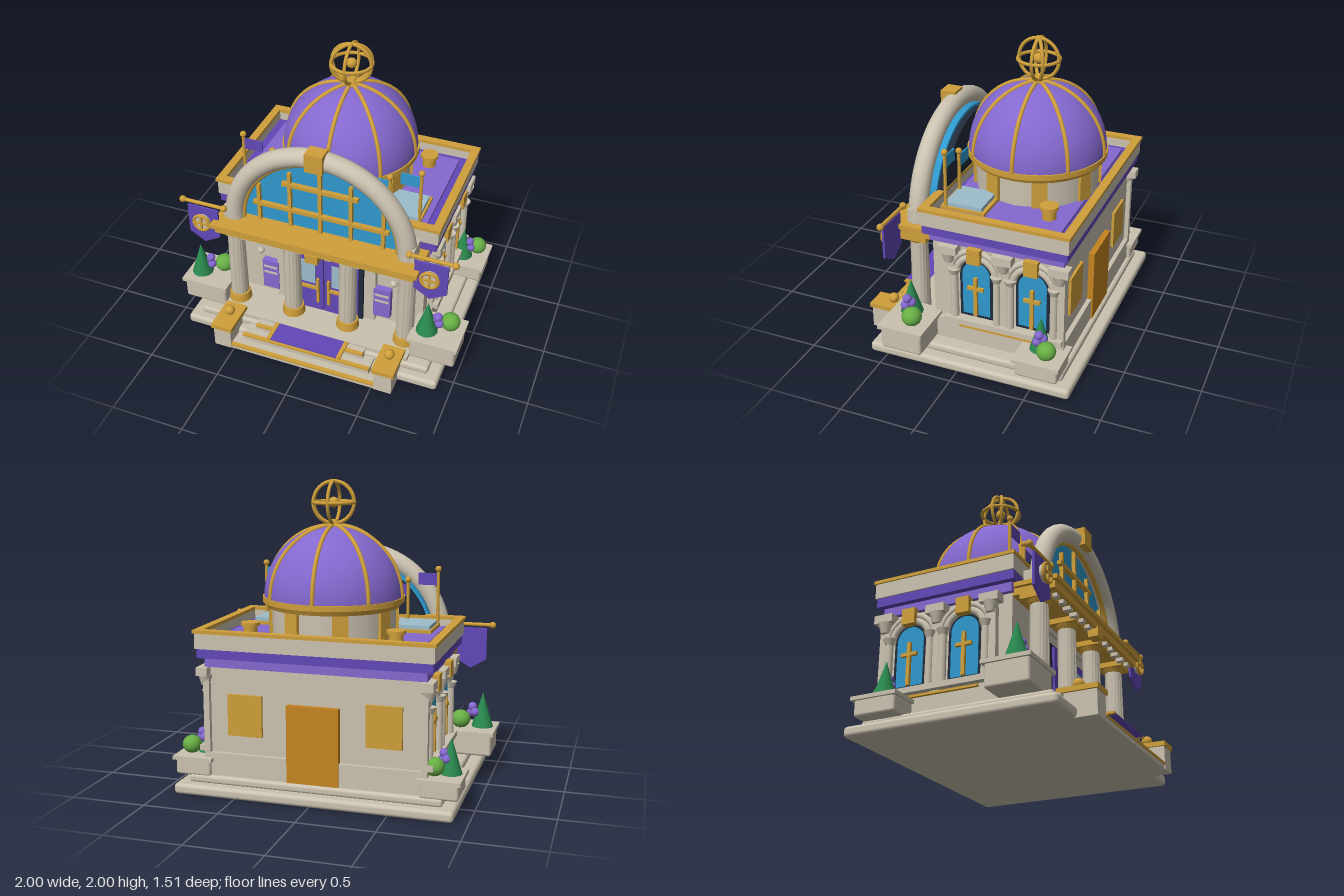
import * as THREE from 'three';
import { RoundedBoxGeometry } from 'three/addons/geometries/RoundedBoxGeometry.js';

const mat = (name, color) => Object.assign(new THREE.MeshStandardMaterial({ color }), { name });

export function createModel() {
  const root = new THREE.Group();
  root.name = 'domedHall';
  const stone = mat('stone', 0xcbc2b0), gold = mat('gold', 0xcf9f3a), amber = mat('amber', 0xc58420);
  const violet = mat('deepPurple', 0x6248b8), lilac = mat('lightPurple', 0x8468cf);
  const blue = mat('blueGlass', 0x2f98cc), pale = mat('paleGlass', 0x9dbccb), dark = mat('navy', 0x1f2a3a);
  const pine = mat('darkGreen', 0x2a8a4f), leaf = mat('leafGreen', 0x68b045);
  violet.side = blue.side = THREE.DoubleSide;

  // helpers
  const add = (name, geo, m, x = 0, y = 0, z = 0, parent = root) => {
    const mesh = new THREE.Mesh(geo, m);
    mesh.name = name;
    mesh.position.set(x, y, z);
    parent.add(mesh);
    return mesh;
  };
  // box given by its limits
  const box = (name, m, x0, x1, y0, y1, z0, z1, parent = root, r = 0) => add(name,
    r ? new RoundedBoxGeometry(x1 - x0, y1 - y0, z1 - z0, 3, r) : new THREE.BoxGeometry(x1 - x0, y1 - y0, z1 - z0),
    m, (x0 + x1) / 2, (y0 + y1) / 2, (z0 + z1) / 2, parent);
  const cyl = (name, m, r0, r1, h, x, y, z, parent = root, n = 20) =>
    add(name, new THREE.CylinderGeometry(r1, r0, h, n), m, x, y + h / 2, z, parent);
  const ball = (name, m, r, x, y, z, parent = root) => add(name, new THREE.SphereGeometry(r, 16, 12), m, x, y, z, parent);
  const group = (name, x = 0, y = 0, z = 0, parent = root) => {
    const g = new THREE.Group();
    g.name = name;
    g.position.set(x, y, z);
    parent.add(g);
    return g;
  };
  const arch = (w, y0, spring) => {
    const s = new THREE.Shape();
    s.moveTo(-w, y0).lineTo(w, y0).lineTo(w, spring).absarc(0, spring, w, 0, Math.PI, false);
    return s.closePath();
  };
  const extrude = (s, depth) => new THREE.ExtrudeGeometry(s, { depth, bevelEnabled: false, curveSegments: 32 });
  const sides = [-1, 1];

  // stepped base
  box('lowerBase', stone, -0.91, 0.91, 0, 0.07, -0.76, 0.62, root, 0.025);
  box('upperBase', stone, -0.83, 0.83, 0.065, 0.12, -0.69, 0.56, root, 0.02);
  box('plinth', stone, -0.73, 0.73, 0.11, 0.27, -0.66, 0.22);
  box('porchFloor', stone, -0.68, 0.68, 0.11, 0.15, 0.2, 0.54);

  // front steps with gold nosings
  [[0.52, 0.04, 0.74], [0.46, 0.09, 0.67], [0.39, 0.135, 0.6]].forEach(([w, y, z]) => {
    box('step', stone, -w, w, 0, y - 0.012, 0.4, z);
    box('stepTread', stone, -w, w, y - 0.012, y, 0.4, z - 0.02);
    box('stepNosing', gold, -w, w, y - 0.012, y + 0.002, z - 0.02, z + 0.008);
  });
  box('carpet', violet, -0.24, 0.24, 0.137, 0.145, 0.5, 0.7);
  sides.forEach(s => box('carpetEdge', gold, s * 0.252 - 0.014, s * 0.252 + 0.014, 0.135, 0.149, 0.5, 0.7));

  // main walls, friezes, parapet and roof
  box('walls', stone, -0.69, 0.69, 0.12, 0.84, -0.63, 0.24);
  box('lowerFrieze', lilac, -0.72, 0.72, 0.83, 0.9, -0.65, 0.25);
  box('upperFrieze', violet, -0.76, 0.76, 0.89, 0.955, -0.68, 0.28);
  box('roofSlab', violet, -0.74, 0.74, 0.95, 0.99, -0.65, 0.26);
  box('roofDeck', lilac, -0.66, 0.66, 0.98, 1.01, -0.59, 0.21);
  const frame = (x, z0, z1, t) => {
    const s = new THREE.Shape([[-x, z0], [x, z0], [x, z1], [-x, z1]].map(p => new THREE.Vector2(...p)));
    s.holes.push(new THREE.Path([[-x + t, z0 + t], [-x + t, z1 - t], [x - t, z1 - t], [x - t, z0 + t]].map(p => new THREE.Vector2(...p))));
    return s;
  };
  [['parapet', stone, 0.77, 0.045, 0.95, 0.1], ['parapetRim', gold, 0.78, 0.055, 1.05, 0.022]].forEach(([n, m, x, t, y, h]) => {
    add(n, extrude(frame(x, -x + 0.485, x - 0.485 + 0.4 + 0.005, t), h), m, 0, y, 0).rotation.x = -Math.PI / 2;
  });

  // dome on its drum
  const dome = group('dome', 0, 0, -0.2);
  cyl('drum', stone, 0.41, 0.41, 0.22, 0, 1, 0, dome, 16);
  for (let i = 0; i < 8; i++) {
    const p = group('drumPilaster', 0, 0, 0, dome);
    p.rotation.y = (i + 0.5) * Math.PI / 4;
    box('pilaster', gold, -0.05, 0.05, 1, 1.21, 0.38, 0.42, p);
  }
  cyl('lowerRing', gold, 0.43, 0.45, 0.04, 0, 1.19, 0, dome, 32);
  cyl('upperRing', gold, 0.46, 0.46, 0.035, 0, 1.222, 0, dome, 48);
  add('domeShell', new THREE.SphereGeometry(0.45, 48, 24, 0, Math.PI * 2, 0, Math.PI / 2), lilac, 0, 1.255, 0, dome);
  for (let i = 0; i < 4; i++)
    add('domeRib', new THREE.TorusGeometry(0.452, 0.014, 8, 48, Math.PI), gold, 0, 1.255, 0, dome).rotation.y = i * Math.PI / 4;

  // ringed globe finial
  const globe = group('finial', 0, 1.853, -0.2);
  [[0, 0], [0, Math.PI / 2], [0, Math.PI / 6], [Math.PI / 2, 0]].forEach(([rx, ry]) =>
    add('finialRing', new THREE.TorusGeometry(0.134, 0.012, 8, 40), gold, 0, 0, 0, globe).rotation.set(rx, ry, 0));
  ball('finialCore', gold, 0.035, 0, 0, 0, globe);
  cyl('finialFoot', gold, 0.05, 0.025, 0.05, 0, 1.695, -0.2);

  // great front arch and its window
  const front = group('frontArch', 0, 0.88, 0);
  add('archMoulding', new THREE.TorusGeometry(0.602, 0.064, 16, 64, Math.PI), stone, 0, 0, 0.38, front);
  add('archInnerTrim', new THREE.TorusGeometry(0.541, 0.017, 8, 64, Math.PI), gold, 0, 0, 0.38, front);
  add('archGlass', extrude(arch(0.56, 0, 0.001), 0.06), blue, 0, 0, 0.285, front);
  add('archBacking', extrude(arch(0.54, 0, 0.001), 0.04), dark, 0, 0, 0.245, front);
  [[0, 0.54], [-0.21, 0.43], [0.21, 0.43], [-0.43, 0.29], [0.43, 0.29]].forEach(([x, h]) =>
    box('verticalBar', gold, x - 0.012, x + 0.012, 0, h, 0.34, 0.37, front));
  [[0.14, 0.47], [0.34, 0.26]].forEach(([y, w]) =>
    box('horizontalBar', gold, -w, w, y - 0.013, y + 0.013, 0.34, 0.375, front));
  box('keystone', gold, -0.06, 0.06, 0.55, 0.68, 0.36, 0.465, front);
  sides.forEach(s => box('archFoot', stone, s * 0.61 - 0.05, s * 0.61 + 0.05, 0, 0.1, 0.3, 0.43, front));

  // portico beam
  box('beam', gold, -0.69, 0.69, 0.81, 0.86, 0.24, 0.52);
  box('beamCap', gold, -0.715, 0.715, 0.855, 0.885, 0.26, 0.545);
  box('beamKey', gold, -0.045, 0.045, 0.755, 0.82, 0.46, 0.53);
  for (let i = -6; i <= 6; i++) if (i) box('dentil', stone, i * 0.1 - 0.02, i * 0.1 + 0.02, 0.785, 0.812, 0.45, 0.5);

  // fluted columns
  const shaft = new THREE.CylinderGeometry(0.058, 0.062, 0.56, 32, 1);
  const sp = shaft.attributes.position;
  for (let i = 0; i < sp.count; i++) {
    const a = Math.round(Math.atan2(sp.getZ(i), sp.getX(i)) / (Math.PI / 16));
    if (a % 2) sp.setXYZ(i, sp.getX(i) * 0.88, sp.getY(i), sp.getZ(i) * 0.88);
  }
  shaft.computeVertexNormals();
  [-0.61, -0.2, 0.2, 0.61].forEach(x => {
    const c = group('column', x, 0, 0.38);
    cyl('columnBase', gold, 0.08, 0.072, 0.06, 0, 0.15, 0, c);
    add('columnShaft', shaft, stone, 0, 0.48, 0, c);
    cyl('columnNeck', gold, 0.062, 0.08, 0.03, 0, 0.75, 0, c);
    box('columnCapital', gold, -0.085, 0.085, 0.775, 0.812, -0.09, 0.09, c);
  });

  // entrance
  box('portal', stone, -0.36, 0.36, 0.15, 0.74, 0.23, 0.28);
  box('portalCap', stone, -0.38, 0.38, 0.73, 0.765, 0.23, 0.3);
  box('doorFrame', dark, -0.28, 0.28, 0.15, 0.655, 0.25, 0.3);
  sides.forEach(s => {
    const cx = (n, m, a, b, y0, y1, z0, z1) => box(n, m, Math.min(s * a, s * b), Math.max(s * a, s * b), y0, y1, z0, z1);
    cx('door', violet, 0.004, 0.25, 0.15, 0.635, 0.27, 0.315);
    cx('doorGlass', pale, 0.06, 0.2, 0.39, 0.58, 0.31, 0.322);
    cx('doorHandle', gold, 0.03, 0.048, 0.23, 0.44, 0.315, 0.335);
    cx('doorPushBar', gold, 0.03, 0.2, 0.345, 0.365, 0.315, 0.335);
    cx('noticePanel', lilac, 0.35, 0.47, 0.21, 0.45, 0.24, 0.286);
    [0.35, 0.4].forEach(y => cx('panelStripe', stone, 0.36, 0.46, y - 0.008, y + 0.008, 0.284, 0.291));
    ball('wallLamp', stone, 0.025, s * 0.485, 0.52, 0.27);
  });

  // side windows and colonnettes
  sides.forEach(s => {
    const wall = group('sideWall', s * 0.69, 0, -0.255);
    wall.rotation.y = s * Math.PI / 2;
    [-0.19, 0.19].forEach(u => {
      const w = group('sideWindow', u, 0, 0, wall);
      add('windowFrame', extrude(arch(0.112, 0.32, 0.635), 0.02), dark, 0, 0, 0, w);
      add('windowGlass', extrude(arch(0.093, 0.34, 0.635), 0.006), blue, 0, 0, 0.018, w);
      box('mullion', gold, -0.012, 0.012, 0.34, 0.62, 0.02, 0.045, w);
      box('transom', gold, -0.055, 0.055, 0.53, 0.552, 0.02, 0.045, w);
      [[0.132, 0.024], [0.17, 0.02]].forEach(([r, t]) =>
        add('windowArch', new THREE.TorusGeometry(r, t, 10, 28, Math.PI), stone, 0, 0.635, 0.02, w));
      box('windowKey', gold, -0.045, 0.045, 0.735, 0.84, 0, 0.07, w);
      [-0.145, 0.145].forEach(x => {
        cyl('colonnette', stone, 0.026, 0.024, 0.33, x, 0.31, 0.035, w, 12);
        cyl('colonnetteCap', stone, 0.026, 0.042, 0.04, x, 0.625, 0.035, w, 12);
      });
    });
    [-0.37, 0, 0.37].forEach(u => {
      box('pier', stone, u - 0.035, u + 0.035, 0.27, 0.75, 0, 0.04, wall);
      box('pierCap', stone, u - 0.065, u + 0.065, 0.775, 0.83, 0, 0.075, wall);
      cyl('pierBracket', stone, 0.03, 0.05, 0.07, u, 0.71, 0.035, wall, 12);
    });
    box('stoneSill', stone, -0.4, 0.4, 0.275, 0.312, 0, 0.075, wall);
    box('goldSill', gold, -0.3, 0.3, 0.247, 0.262, 0, 0.06, wall);
  });

  // back door and shutters
  box('backDoor', amber, -0.17, 0.17, 0.12, 0.62, -0.67, -0.62);
  sides.forEach(s => box('backShutter', gold, s * 0.455 - 0.115, s * 0.455 + 0.115, 0.39, 0.66, -0.648, -0.62));

  // planters: pine, bush and berries
  const planter = (x, z, w, d, y0, y1, k, dx) => {
    const g = group('planter', x, 0, z);
    box('planterBody', stone, -w + 0.015, w - 0.015, y0, y1 - 0.01, -d + 0.015, d - 0.015, g, 0.018);
    box('planterRim', stone, -w, w, y1 - 0.025, y1, -d, d, g);
    add('pine', new THREE.ConeGeometry(0.075 * k, 0.24 * k, 12), pine, -dx, y1 + 0.12 * k, 0.025, g);
    const bush = add('bush', new THREE.IcosahedronGeometry(0.066 * k, 2), leaf, dx, y1 + 0.06 * k, -0.045, g);
    bush.scale.y = 0.95;
    [[0, 0.135, 0.02], [0.012, 0.09, 0.03], [-0.02, 0.1, 0]].forEach(([bx, by, bz]) =>
      ball('berry', lilac, 0.03 * k, bx, y1 + by * k, bz, g));
  };
  sides.forEach(s => {
    planter(s * 0.83, 0.35, 0.17, 0.155, 0.12, 0.29, 1, 0.07);
    planter(s * 0.805, -0.545, 0.135, 0.155, 0.11, 0.235, 0.95, 0.045);
  });

  // stair piers, banners, flags and roof fittings
  sides.forEach(s => {
    box('stairPier', stone, s * 0.58 - 0.062, s * 0.58 + 0.062, 0, 0.157, 0.5, 0.745);
    box('stairPierCap', gold, s * 0.58 - 0.076, s * 0.58 + 0.076, 0.155, 0.186, 0.5, 0.755);
    ball('stairOrb', gold, 0.035, s * 0.58, 0.22, 0.61);

    const banner = group('banner', s * 0.79, 0, 0.47);
    const cloth = new THREE.Shape([[-0.11, 0.96], [-0.11, 0.74], [0, 0.675], [0.11, 0.74], [0.11, 0.96]].map(p => new THREE.Vector2(...p)));
    add('bannerCloth', extrude(cloth, 0.015), violet, 0, 0, 0, banner);
    const rod = cyl('bannerRod', gold, 0.013, 0.013, 0.32, 0, 0.825, 0, banner, 12);
    rod.rotation.z = Math.PI / 2;
    [-0.15, 0.15].forEach(x => ball('rodBall', gold, 0.023, x, 0.985, 0, banner));
    const disc = cyl('emblemDisc', stone, 0.055, 0.055, 0.025, 0, 0.8425, 0.03, banner, 24);
    disc.rotation.x = Math.PI / 2;
    add('emblemRing', new THREE.TorusGeometry(0.057, 0.011, 8, 28), gold, 0, 0.855, 0.045, banner);
    box('emblemBar', gold, -0.007, 0.007, 0.805, 0.905, 0.03, 0.055, banner);
    box('emblemBar', gold, -0.05, 0.05, 0.848, 0.862, 0.03, 0.055, banner);

    [[0.61, 1.4], [0.405, 1.32]].forEach(([x, top]) => {
      cyl('flagPole', gold, 0.011, 0.011, top - 1, s * x, 1, 0.18, root, 10);
      ball('poleBall', gold, 0.021, s * x, top, 0.18);
      const x0 = s * x, x1 = s * (x - 0.135);
      box('flag', s > 0 ? blue : violet, Math.min(x0, x1), Math.max(x0, x1), top - 0.11, top - 0.03, 0.175, 0.185);
    });

    box('skylightFrame', gold, s * 0.48 - 0.14, s * 0.48 + 0.14, 1, 1.03, -0.085, 0.215);
    box('skylight', pale, s * 0.485 - 0.12, s * 0.485 + 0.12, 1.02, 1.055, -0.06, 0.19);
    cyl('vent', gold, 0.045, 0.045, 0.08, s * 0.48, 1, -0.46);
    cyl('ventCap', gold, 0.06, 0.06, 0.022, s * 0.48, 1.076, -0.46);
  });
  return root;
}
